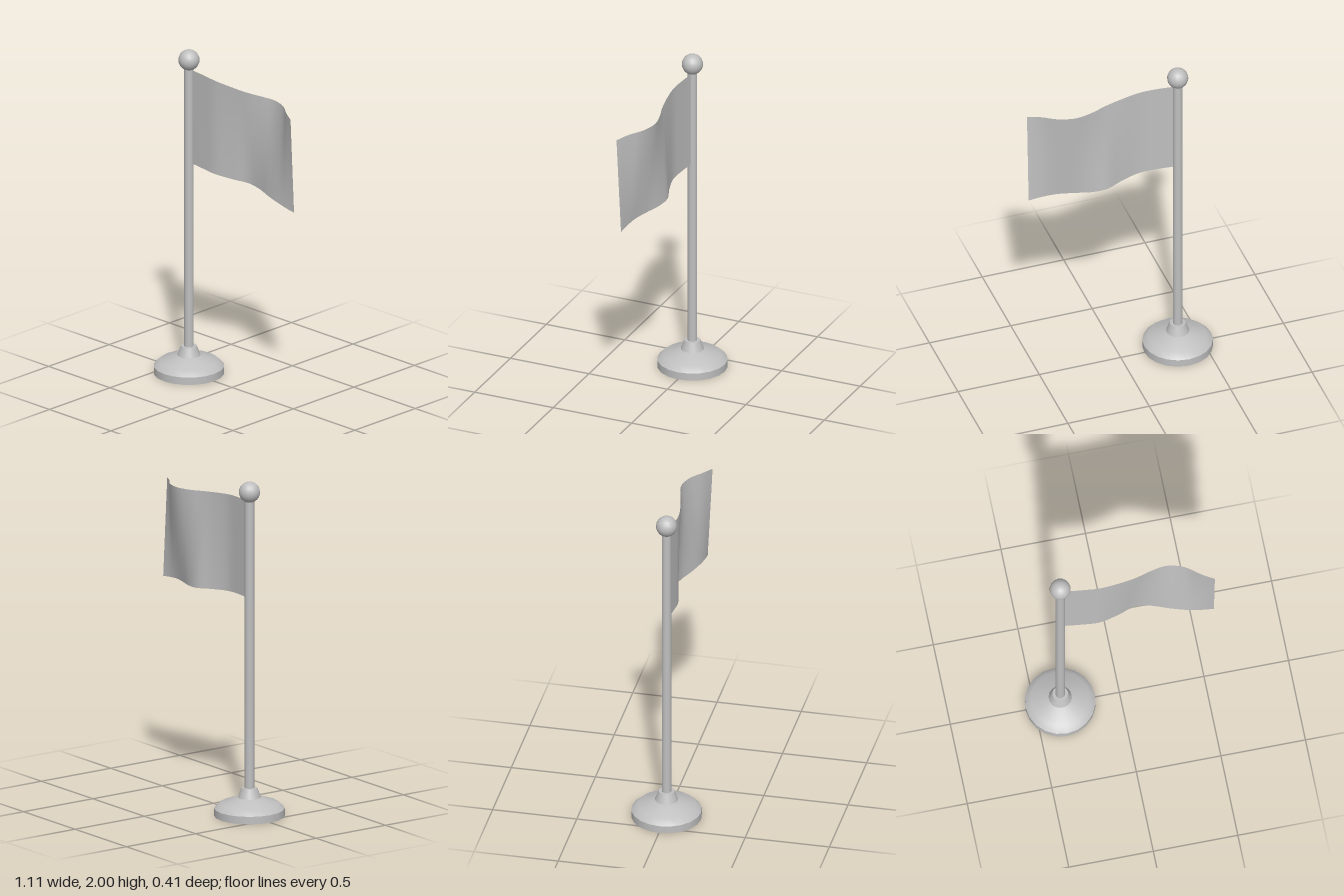
import * as THREE from 'three';

const POLE_X = -0.35;
const SIDES = 20;

export function createModel() {
  const model = new THREE.Group();
  model.name = 'flagOnStand';

  const grey = new THREE.MeshStandardMaterial({ color: 0xbfbfbf, side: THREE.DoubleSide });
  grey.name = 'plain grey';

  const add = (name, geometry, parent = model) => {
    const mesh = new THREE.Mesh(geometry, grey);
    mesh.name = name;
    parent.add(mesh);
    return mesh;
  };

  // Upright section between two heights, with its own radius at each end
  const section = (name, r0, y0, r1, y1, open, parent) => {
    const g = new THREE.CylinderGeometry(r1, r0, y1 - y0, SIDES, 1, open);
    g.translate(0, (y0 + y1) / 2, 0);
    return add(name, g, parent);
  };

  // Stand, pole and finial share one axis
  const stand = new THREE.Group();
  stand.name = 'stand';
  stand.position.x = POLE_X;
  model.add(stand);

  section('baseRim', 0.205, 0, 0.205, 0.045, false, stand);
  add('baseDome', new THREE.LatheGeometry([
    new THREE.Vector2(0.205, 0.045),
    new THREE.Vector2(0.17, 0.077),
    new THREE.Vector2(0.065, 0.112),
  ], SIDES), stand);
  section('collar', 0.068, 0.11, 0.046, 0.167, false, stand);
  section('pole', 0.028, 0.16, 0.028, 1.89, true, stand);
  const ball = add('finialBall', new THREE.SphereGeometry(0.062, 16, 12), stand);
  ball.position.y = 1.938;

  // Cloth: a ruled surface between the waving top and bottom edges
  const edge = (points) => new THREE.CatmullRomCurve3(points.map((p) => new THREE.Vector3(...p)));
  const topEdge = edge([
    [-0.325, 1.88, 0], [-0.22, 1.88, 0.011], [-0.12, 1.874, 0.018], [0, 1.863, 0.006],
    [0.1, 1.853, -0.012], [0.19, 1.846, -0.038], [0.29, 1.843, -0.054],
    [0.39, 1.84, -0.027], [0.48, 1.834, 0.036], [0.55, 1.825, 0.074],
  ]);
  const bottomEdge = edge([
    [-0.325, 1.302, 0], [-0.22, 1.3, 0.012], [-0.12, 1.295, 0.017], [0, 1.286, -0.012],
    [0.1, 1.277, -0.046], [0.19, 1.27, -0.036], [0.29, 1.265, -0.002],
    [0.39, 1.26, 0.027], [0.48, 1.25, 0.041], [0.55, 1.241, 0.045],
  ]);
  const cloth = new THREE.PlaneGeometry(1, 1, 48, 12);
  const pos = cloth.attributes.position;
  for (let i = 0; i < pos.count; i++) {
    const u = pos.getX(i) + 0.5;
    const v = pos.getY(i) + 0.5;
    const p = bottomEdge.getPoint(u).lerp(topEdge.getPoint(u), v);
    pos.setXYZ(i, p.x, p.y, p.z);
  }
  cloth.computeVertexNormals();
  add('flagCloth', cloth);

  return model;
}
